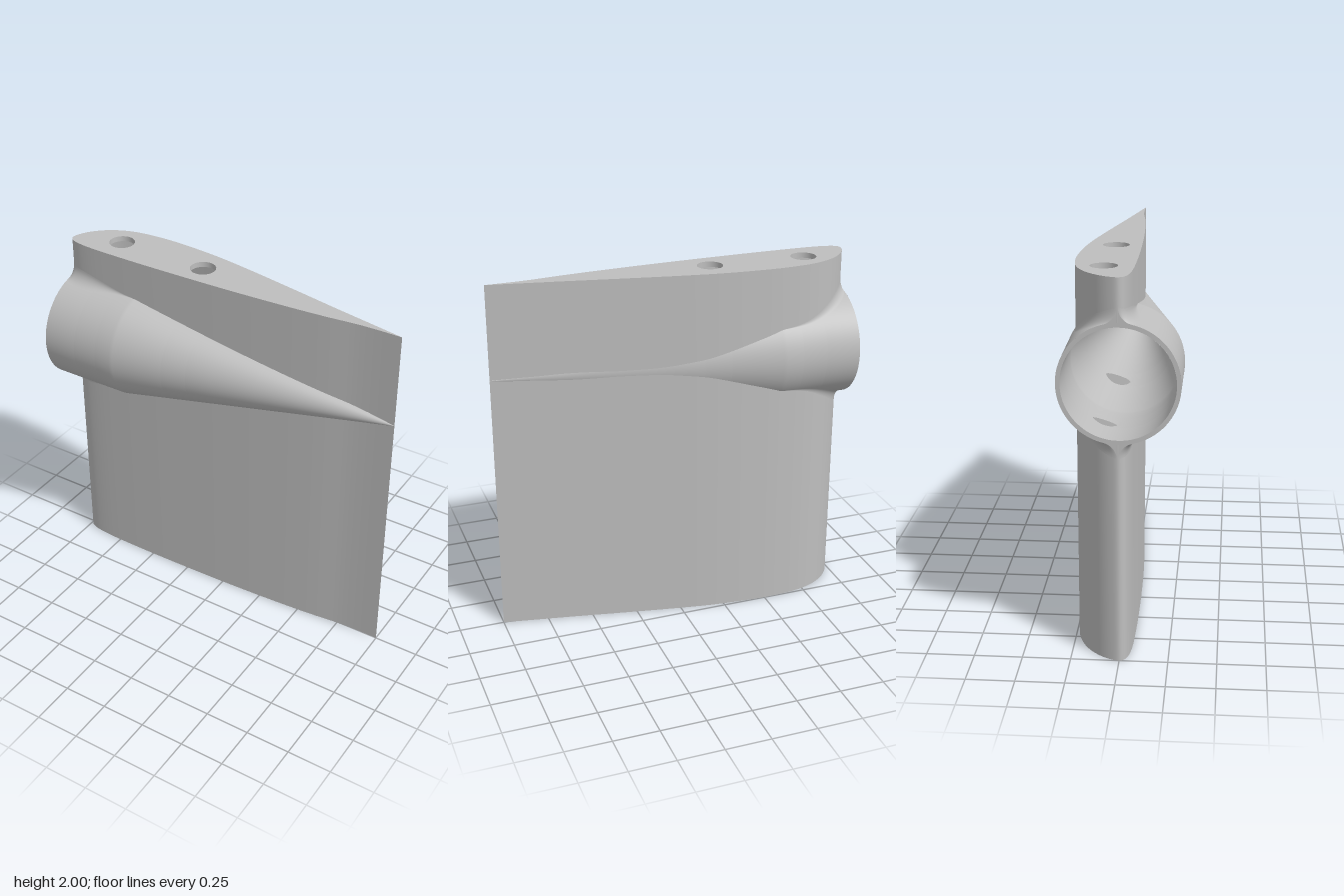
import * as THREE from 'three';
import { mergeGeometries, mergeVertices } from 'three/addons/utils/BufferGeometryUtils.js';

const CY = 1.475, R0 = 0.305, SHOULDER = -0.56, TUBE_WALL = 0.022, WALL = 0.03, HOLE_R = 0.07;
const HOLES = [[-0.735, -0.09], [-0.2, -0.075]]; // x, z

// tube radius: straight at the nose, then a cone to the trailing edge
const tubeR = (x) => Math.max(0.001, x < SHOULDER ? R0 : (R0 * (1 - x)) / (1 - SHOULDER));

// surface through equal-length columns of points
function grid(cols) {
  const n = cols[0].length, pos = [], index = [];
  cols.forEach((c) => c.forEach((p) => pos.push(...p)));
  for (let i = 0; i < cols.length - 1; i++) {
    for (let j = 0; j < n - 1; j++) {
      const a = i * n + j, b = a + n;
      index.push(a, b, a + 1, b, b + 1, a + 1);
    }
  }
  const g = new THREE.BufferGeometry();
  g.setAttribute('position', new THREE.Float32BufferAttribute(pos, 3));
  g.setIndex(index);
  g.computeVertexNormals();
  return g;
}

// wing section (x, z): trailing edge, back, leading edge, front, trailing edge
const section = new THREE.CatmullRomCurve3([
  [1, 0], [0.8, -0.038], [0.6, -0.076], [0.3, -0.136], [0, -0.193], [-0.2, -0.225], [-0.4, -0.243],
  [-0.57, -0.247], [-0.75, -0.226], [-0.87, -0.175], [-0.95, -0.105], [-0.988, -0.045], [-1, 0],
  [-0.985, 0.026], [-0.95, 0.042], [-0.87, 0.055], [-0.6, 0.063], [-0.2, 0.06], [0.1, 0.052],
  [0.4, 0.037], [0.6, 0.022], [0.75, 0.006], [0.85, 0.001], [1, 0],
].map(([x, z]) => new THREE.Vector3(x, 0, z)), false, 'centripetal');
const outer = section.getPoints(184).map((p) => [p.x, p.z]);

// inner wall line, pushed in along the section normals
const inner = outer.map((p, i) => {
  const a = outer[Math.max(0, i - 1)], b = outer[Math.min(outer.length - 1, i + 1)];
  const dx = b[0] - a[0], dz = b[1] - a[1], l = Math.hypot(dx, dz);
  return [p[0] - (dz / l) * -WALL, p[1] + (-dx / l) * WALL];
}).filter((p) => p[0] < 0.66);

// wing surface depth at x, on the back (-1) or front (+1)
function depthAt(x, side) {
  const le = 96; // sample of the leading edge
  const pts = side < 0 ? outer.slice(0, le + 1).reverse() : outer.slice(le);
  for (let i = 1; i < pts.length; i++) {
    const [a, b] = [pts[i - 1], pts[i]];
    if (x <= b[0]) return Math.abs(THREE.MathUtils.lerp(a[1], b[1], Math.max(0, (x - a[0]) / (b[0] - a[0]))));
  }
  return 0;
}

// wing wall above and below the tube, open where the tube passes
function wall(line) {
  const half = ([x, z]) => Math.sqrt(Math.max(0, tubeR(x) ** 2 - z * z));
  return mergeGeometries([
    grid(line.map((p) => [[p[0], CY + half(p), p[1]], [p[0], 2, p[1]]])),
    grid(line.map((p) => [[p[0], 0, p[1]], [p[0], CY - half(p), p[1]]])),
  ]);
}

// flat horizontal plate from a section line
function plate(line, holes, y, up) {
  const s = up ? -1 : 1;
  const shape = new THREE.Shape(line.map(([x, z]) => new THREE.Vector2(x, s * z)));
  shape.holes = holes.map((h) => new THREE.Path(h.map(([x, z]) => new THREE.Vector2(x, s * z))));
  return new THREE.ShapeGeometry(shape).rotateX((s * Math.PI) / 2).translate(0, y, 0);
}

// tube skin with round vertical openings, as a front and a back arc
function tubeSkin(inset, endX) {
  const xs = [-1, -0.9, -0.57, -0.55, -0.4, 0, 0.25, 0.5, 0.75];
  HOLES.forEach(([hx]) => {
    for (let k = 0; k <= 16; k++) xs.push(hx - HOLE_R * Math.cos((k * Math.PI) / 16));
  });
  xs.push(endX);
  xs.sort((a, b) => a - b);
  const front = [], back = [], N = 40;
  xs.forEach((x) => {
    const r = Math.max(0.001, tubeR(x) - inset);
    let w = 0;
    HOLES.forEach(([hx]) => { w = Math.max(w, Math.sqrt(Math.max(0, HOLE_R ** 2 - (x - hx) ** 2))); });
    const f1 = Math.asin(-0.305 + w / r), f2 = Math.asin(Math.max(-1, -0.305 - w / r));
    const arc = (a, b) => Array.from({ length: N + 1 }, (_, j) => {
      const f = a + ((b - a) * j) / N;
      return [x, CY + r * Math.cos(f), r * Math.sin(f)];
    });
    front.push(arc(Math.PI - f1, f1));
    back.push(arc(f2, -Math.PI - f2));
  });
  if (inset) { front.reverse(); back.reverse(); }
  const g = mergeGeometries([grid(front), grid(back)]);
  g.deleteAttribute('normal');
  const welded = mergeVertices(g, 1e-5);
  welded.computeVertexNormals();
  return welded;
}

// concave blend between the tube and one side of the wing, with its nose cap
function fillet(side, vert) {
  const cols = [];
  for (let i = 0; i <= 32; i++) {
    const x = -1 + 0.43 * (i / 32) ** 2;
    const r = 0.001 + 0.084 * (1 - THREE.MathUtils.smoothstep(x, -0.95, -0.55));
    const zc = depthAt(x, side) + r, yc = Math.sqrt((R0 + r) ** 2 - zc * zc);
    const a0 = Math.PI, a1 = Math.atan2(-yc, -zc) + 2 * Math.PI;
    const col = [];
    for (let j = 0; j <= 10; j++) {
      const a = a0 + ((a1 - a0) * j) / 10;
      col.push([x, CY + vert * (yc + r * Math.sin(a)), side * (zc + r * Math.cos(a))]);
    }
    cols.push(side * vert > 0 ? col.reverse() : col);
  }
  const corner = cols[0].map(() => [-1, CY + vert * R0, 0]);
  return mergeGeometries([grid(cols), grid([corner, cols[0]])]);
}

export function createModel() {
  const model = new THREE.Group();
  model.name = 'wingSection';
  const grey = new THREE.MeshStandardMaterial({ color: 0xbebebe, side: THREE.DoubleSide });
  grey.name = 'grey';
  const add = (name, geometry) => {
    const mesh = new THREE.Mesh(geometry, grey);
    mesh.name = name;
    model.add(mesh);
    return mesh;
  };

  // hollow wing
  add('wingSkin', wall(outer));
  add('wingInnerWall', wall([...inner, inner[0]].reverse()));
  add('bottomRim', plate(outer.slice(0, -1), [inner], 0, false));

  // top cap with two round holes
  const circles = HOLES.map(([x, z]) => Array.from({ length: 40 }, (_, k) => {
    const a = (k * Math.PI) / 20;
    return [x + HOLE_R * Math.cos(a), z + HOLE_R * Math.sin(a)];
  }));
  add('topCap', plate(outer.slice(0, -1), circles, 2, true));
  add('topCapUnderside', plate(inner, circles, 2 - WALL, false));
  HOLES.forEach(([x, z]) => {
    add('holeWall', new THREE.CylinderGeometry(HOLE_R, HOLE_R, WALL, 40, 1, true)).position.set(x, 2 - WALL / 2, z);
  });
  add('innerLedge', new THREE.BoxGeometry(0.18, 0.02, 0.08)).position.set(-0.2, 1.86, -0.16);

  // hollow tube tapering to a point
  add('tubeSkin', tubeSkin(0, 1));
  add('tubeInside', tubeSkin(TUBE_WALL, 0.88));
  const lip = add('tubeLip', new THREE.RingGeometry(R0 - TUBE_WALL, R0, 80));
  lip.rotation.y = -Math.PI / 2;
  lip.position.set(-1, CY, 0);

  // blends where the tube leaves the nose
  for (const side of [-1, 1]) for (const vert of [-1, 1]) add('tubeBlend', fillet(side, vert));
  return model;
}
